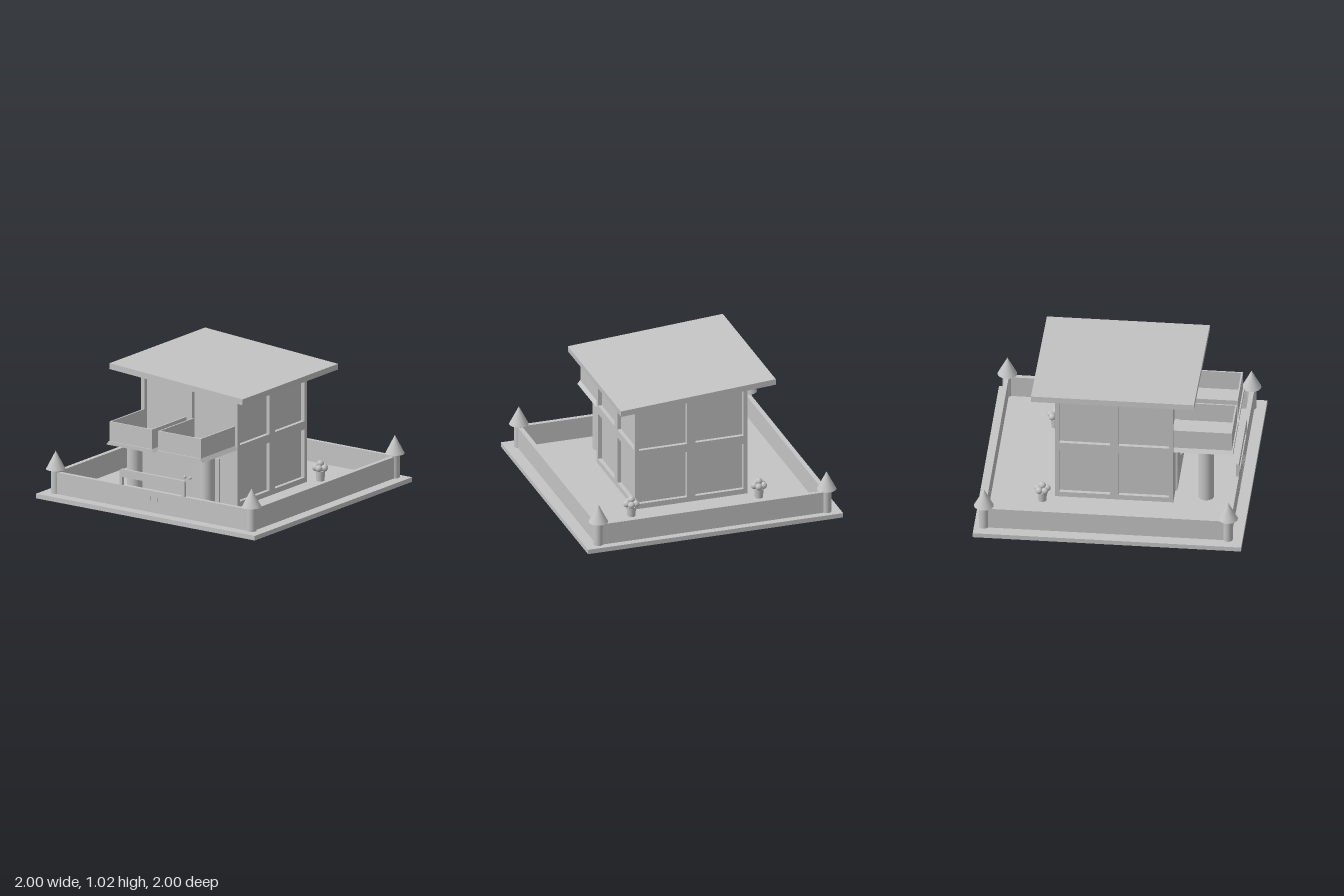
import * as THREE from 'three';

export function createModel() {
  const model = new THREE.Group();
  const grey = new THREE.MeshStandardMaterial({ color: 0xc4c4c4 });
  grey.name = 'plain grey';

  function add(name, geometry, x = 0, y = 0, z = 0, parent = model) {
    const mesh = new THREE.Mesh(geometry, grey);
    mesh.name = name;
    mesh.position.set(x, y, z);
    parent.add(mesh);
    return mesh;
  }
  // Box given by its minimum and maximum corners
  function box(name, x0, x1, y0, y1, z0, z1, parent = model) {
    return add(name, new THREE.BoxGeometry(x1 - x0, y1 - y0, z1 - z0),
      (x0 + x1) / 2, (y0 + y1) / 2, (z0 + z1) / 2, parent);
  }
  // Polygon with optional holes, extruded along z
  function plate(points, depth, holes = []) {
    const toVectors = list => list.map(([x, y]) => new THREE.Vector2(x, y));
    const shape = new THREE.Shape(toVectors(points));
    holes.forEach(h => shape.holes.push(new THREE.Path(toVectors(h))));
    return new THREE.ExtrudeGeometry(shape, { depth, bevelEnabled: false });
  }
  function group(name, x = 0, y = 0, z = 0) {
    const g = new THREE.Group();
    g.name = name;
    g.position.set(x, y, z);
    model.add(g);
    return g;
  }

  const ground = 0.035, half = 0.44, frame = 0.03;
  const eave = x => 0.931 - 0.066 * x; // underside of the sloping roof

  // Ground slab and boundary walls
  box('groundSlab', -1, 1, 0, ground, -1, 1);
  box('frontBoundaryWall', -0.9, 0.9, ground, 0.2, 0.88, 0.915);
  box('backBoundaryWall', -0.9, 0.9, ground, 0.2, -0.945, -0.915);
  for (const s of [-1, 1]) {
    const wall = box('sideBoundaryWall', -0.018, 0.018, ground, 0.2, -0.93, 0.9);
    wall.position.x = s * 0.893;
    // Corner posts with conical caps
    for (const z of [-0.927, 0.893]) {
      const post = group('cornerPost', s * 0.895, 0, z);
      add('postShaft', new THREE.CylinderGeometry(0.036, 0.036, 0.19, 32), 0, 0.13, 0, post);
      add('postCap', new THREE.ConeGeometry(0.073, 0.142, 32), 0, 0.29, 0, post);
    }
  }

  // House core behind the window frames
  const c = half - frame;
  add('houseCore', plate([[-c, ground], [c, ground], [c, eave(c)], [-c, eave(-c)]], 2 * c), 0, 0, -c);

  // Window openings: left and right columns of each facade
  const columns = [[-0.41, -0.033], [0.033, 0.41]];
  const lower = columns.map(([a, b]) => [[a, 0.075], [b, 0.075], [b, 0.445], [a, 0.445]]);
  const upper = (cols, bottom, top) =>
    cols.map(([a, b]) => [[a, bottom], [b, bottom], [b, top(b)], [a, top(a)]]);
  const outline = top => [[-half, ground], [half, ground], [half, top(half)], [-half, top(-half)]];
  const slopedHead = x => eave(x) - 0.028;

  add('frontFrame', plate(outline(eave), frame,
    upper([[-0.42, -0.028], [0.025, 0.42]], 0.505, slopedHead)), 0, 0, c);
  add('backFrame', plate(outline(eave), frame,
    [...lower, ...upper(columns, 0.51, slopedHead)]), 0, 0, -half);
  for (const s of [-1, 1]) {
    const head = eave(s * half);
    const side = plate(outline(() => head), frame,
      [...lower, ...upper(columns, 0.51, () => head - 0.038)]);
    side.rotateY(-Math.PI / 2);
    add('sideFrame', side, s > 0 ? half : -c);
  }

  // Sloping roof
  add('roof', plate([[-0.61, 0.971], [0.605, 0.889], [0.608, 0.934], [-0.607, 1.016]], 1.215), 0, 0, -0.605);

  // Twin balconies: flared slab with an open-topped parapet
  for (const s of [-1, 1]) {
    const balcony = group('balcony');
    const slab = [[0, 0.48], [half, 0.48], [0.418, 0.508], [0.028, 0.508]].map(([x, y]) => [s * x, y]);
    add('balconySlab', plate(s > 0 ? slab : slab.reverse(), 0.455), 0, 0, 0.43).removeFromParent();
    balcony.add(add('balconyFloor', plate(slab, 0.455), 0, 0, 0.43));
    for (const x of [0.034, 0.412]) {
      box('balconySide', s * x - 0.006, s * x + 0.006, 0.5, 0.658, half, 0.875, balcony);
    }
    const front = box('balconyFront', -0.195, 0.195, 0.5, 0.658, 0.863, 0.875, balcony);
    front.position.x = s * 0.223;
    // Column under the balcony
    add('column', new THREE.CylinderGeometry(0.058, 0.058, 0.45, 40), s * 0.331, 0.257, 0.675);
  }

  // Entrance door with pull handles
  box('entranceDoor', -0.28, 0.28, ground, 0.385, half, 0.455);
  const knob = new THREE.SphereGeometry(0.012, 16, 10);
  for (const x of [-0.027, 0.022]) add('doorKnob', knob, x, 0.2, 0.46);

  // Gate hoop with rounded upper corners, set into the front wall
  const hoop = new THREE.Shape();
  hoop.moveTo(-0.298, ground);
  hoop.lineTo(0.298, ground);
  hoop.lineTo(0.298, 0.3);
  hoop.quadraticCurveTo(0.298, 0.323, 0.275, 0.323);
  hoop.lineTo(-0.275, 0.323);
  hoop.quadraticCurveTo(-0.298, 0.323, -0.298, 0.3);
  hoop.closePath();
  hoop.holes.push(new THREE.Path([[-0.272, 0.06], [0.272, 0.06], [0.272, 0.263], [-0.272, 0.263]]
    .map(([x, y]) => new THREE.Vector2(x, y))));
  add('gateHoop', new THREE.ExtrudeGeometry(hoop, { depth: 0.022, bevelEnabled: false }), 0, 0, 0.894);
  for (const x of [-0.014, 0.051]) box('gateHandle', x - 0.004, x + 0.004, 0.125, 0.16, 0.91, 0.922);

  // Potted plants behind the house
  const bloom = new THREE.SphereGeometry(0.026, 16, 12);
  for (const s of [-1, 1]) {
    const plant = group('pottedPlant', s * 0.5, ground, -0.53);
    add('pot', new THREE.CylinderGeometry(0.036, 0.03, 0.075, 24), 0, 0.037, 0, plant);
    for (let i = 0; i < 5; i++) {
      const a = i * Math.PI * 2 / 5;
      add('bloom', bloom, Math.cos(a) * 0.036, 0.1, Math.sin(a) * 0.036, plant);
    }
    add('topBloom', bloom, 0, 0.13, 0, plant);
  }
  return model;
}
